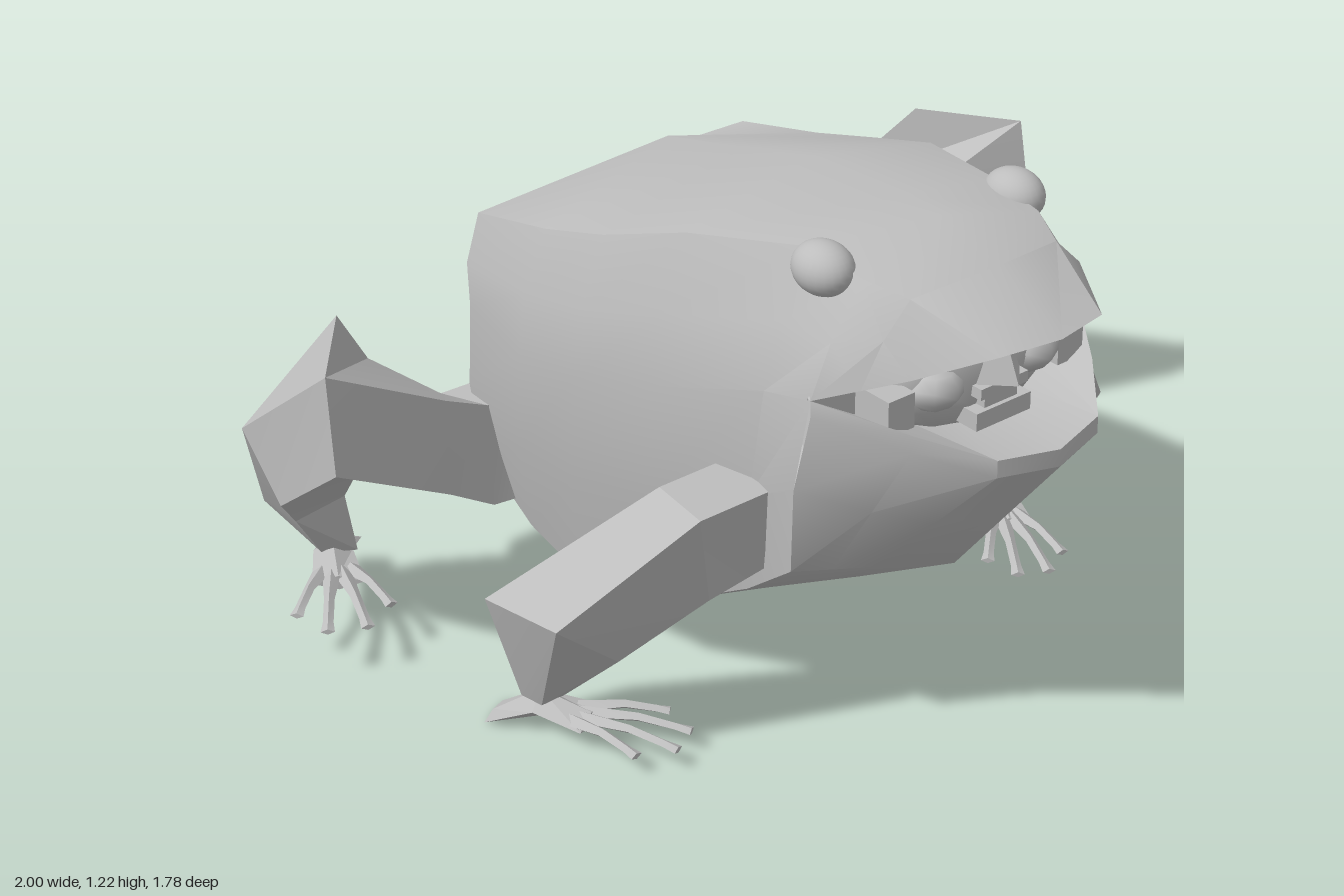
import * as THREE from 'three';
import { toCreasedNormals, mergeGeometries } from 'three/addons/utils/BufferGeometryUtils.js';

const grey = new THREE.MeshStandardMaterial({ color: 0xbdbdbd, side: THREE.DoubleSide });
grey.name = 'grey skin';

const flip = ([x, y, z]) => [-x, y, z];
const mix = (a, b, t) => a.map((v, i) => v + (b[i] - v) * t);

// Skin rows of points; faces are turned to point away from `inside`
function loft(rows, inside, closed = false, caps = false) {
  const tris = [];
  const n = rows[0].length;
  for (let r = 0; r + 1 < rows.length; r++) {
    for (let i = 0; i < (closed ? n : n - 1); i++) {
      const j = (i + 1) % n;
      const a = rows[r][i], b = rows[r][j], c = rows[r + 1][j], d = rows[r + 1][i];
      tris.push([a, b, c], [a, c, d]);
    }
  }
  if (caps) {
    const first = rows[0], last = rows[rows.length - 1];
    for (let i = 1; i + 1 < n; i++) {
      tris.push([first[0], first[i + 1], first[i]], [last[0], last[i], last[i + 1]]);
    }
  }
  const origin = new THREE.Vector3(...inside);
  let volume = 0;
  for (const t of tris) {
    const [a, b, c] = t.map((p) => new THREE.Vector3(...p).sub(origin));
    volume += a.dot(b.cross(c));
  }
  if (volume < 0) tris.forEach((t) => t.reverse());
  const g = new THREE.BufferGeometry();
  g.setAttribute('position', new THREE.Float32BufferAttribute(tris.flat(2), 3));
  return g;
}

const limb = (rows) => loft(rows, rows[0][0], true, true);
// Four-cornered section from three of its corners
const quad = (a, b, c) => [a, b, c, a.map((v, i) => v + c[i] - b[i])];
// Half ring from top centre to bottom centre -> whole ring
const ring = (h) => [...h, ...h.slice(1, -1).reverse().map(flip)];
// Half row from the side to the centre -> whole row
const across = (h) => [...h, ...h.slice(0, -1).reverse().map(flip)];

// Half of a body section: top, ridge, widest, low edge and belly, bulged between
function halfRing([yT, zT, xR, yR, zR, xM, xL, yL, zL, yB, zB]) {
  const top = [0, yT, zT], ridge = [xR, yR, zR], low = [xL, yL, zL], belly = [0, yB, zB];
  const wide = [xM, yR + (yL - yR) * 0.35, zR + (zL - zR) * 0.1];
  const bulge = (a, b) => {
    const [x, y, z] = mix(a, b, 0.5);
    return [x * 1.05, y, z];
  };
  return [top, ridge, bulge(ridge, wide), wide, bulge(wide, low), low, mix(low, belly, 0.5), belly];
}

// Diamond-section bar through stations of [point, half width, half height]
function bar(stations) {
  const a = stations[0][0], b = stations[stations.length - 1][0];
  const dir = new THREE.Vector3(b[0] - a[0], 0, b[2] - a[2]).normalize();
  return limb(stations.map(([p, w, h]) => [[1, 0], [0, 1], [-1, 0], [0, -1]].map(([u, v]) =>
    [p[0] + dir.z * u * w, p[1] + v * h, p[2] - dir.x * u * w])));
}

export function createModel() {
  const model = new THREE.Group();
  model.name = 'frog';
  const add = (name, geo, crease = 0.3) => {
    const m = new THREE.Mesh(crease ? toCreasedNormals(geo, crease) : geo, grey);
    m.name = name;
    model.add(m);
    return m;
  };

  // Body sections from rump edge to mouth corner
  const body = [
    [.52, -.89, 0, .5, -.885, 0, 0, .36, -.83, .33, -.81],
    [.84, -.73, .38, .93, -.56, .41, .36, .28, -.62, .19, -.66],
    [1.075, -.36, .385, .99, -.3, .46, .37, .18, -.42, .04, -.38],
    [1.14, -.1, .38, 1.05, -.1, .455, .37, .135, -.24, .015, -.23],
    [1.2, .13, .34, 1.13, .13, .43, .36, .18, .02, .03, -.06],
    [1.22, .43, .25, 1.18, .42, .365, .32, .34, .3, .24, .3],
    [1.213, .53, .24, 1.16, .565, .37, .37, .5, .5, .42, .6],
  ].map(halfRing);
  const [brow, ridge, temple, corner, cheek, low, throat, chest] = body[6];
  const upperLip = [corner, [.25, 1, .72], [.14, 1.07, .855], [0, 1.075, .885]];
  const lowerLip = [corner, [.25, .88, .73], [.14, .84, .86], [0, .83, .895]];

  // Snout with a fold across it
  const snout = [
    [corner, temple, ridge, brow],
    [[.31, .965, .64], [.27, 1.07, .66], [.2, 1.14, .66], [0, 1.165, .7]],
    upperLip,
  ];
  // Lower jaw: lip, chin, throat, chest
  const chin = lowerLip.map(([x, y, z]) => [x, y - .04, z]);
  const jawBase = [low, mix(low, throat, 0.5), throat, chest];
  const gullet = chin.map((p, i) => (i ? mix(p, jawBase[i], 0.5) : cheek));
  const jaw = [lowerLip, chin, gullet, jawBase];

  add('body', mergeGeometries([
    loft(body.map(ring), [0, .6, 0], true),
    loft(snout.map(across), [0, .95, .5]),
    loft(jaw.map(across), [0, .75, .5]),
  ]), 0.55);

  // Mouth lining: arched palate and hollow floor
  add('mouthLining', loft([
    upperLip,
    upperLip.map(([x]) => [x, 1.11 - 1.3 * x * x, .55]),
    lowerLip.map(([x]) => [x, .79 + x * x, .55]),
    lowerLip,
  ].map(across), [0, .95, 1]));

  // Small face inside the mouth
  const ball = (name, p, s, w = 10, h = 8) => {
    const m = add(name, new THREE.SphereGeometry(1, w, h), 0);
    m.position.set(...p);
    m.scale.set(...s);
  };
  const box = (name, size, p) => add(name, new THREE.BoxGeometry(...size), 0).position.set(...p);
  ball('innerHead', [0, .93, .61], [.23, .15, .1]);
  add('innerNose', new THREE.CylinderGeometry(.02, .06, .09, 4)).position.set(0, .965, .71);
  box('innerUpperLip', [.13, .025, .05], [0, .905, .705]);
  box('innerMouth', [.09, .05, .04], [0, .87, .7]);
  box('innerChin', [.15, .04, .08], [0, .845, .69]);

  for (const [side, s] of [['left', 1], ['right', -1]]) {
    const at = ([x, y, z]) => [x * s, y, z];
    const part = (name, rows) => add(side + name, limb(rows.map((r) => r.map(at))));

    ball(side + 'Eye', at([.262, 1.157, .47]), [.06, .057, .073], 24, 16);
    ball(side + 'InnerEye', at([.1, 1.015, .68]), [.07, .035, .05]);
    ball(side + 'InnerCheek', at([.13, .92, .67]), [.07, .045, .05], 7, 5);
    box(side + 'InnerSide', [.07, .08, .1], at([.235, .9, .63]));

    // Front leg: shoulder, elbow, wrist
    part('FrontLeg', [
      quad([.33, .66, .43], [.33, .66, .27], [.33, .44, .22]),
      quad([.55, .66, .43], [.53, .66, .27], [.47, .42, .22]),
      quad([.79, .4, .25], [.8, .37, .01], [.65, .24, .02]),
      quad([.7, .08, .06], [.71, .08, 0], [.65, .08, 0]),
    ]);

    // Hind leg: thigh up to the knee, then shin down to the ankle
    const knee = quad([.83, .87, -.45], [.99, .86, -.25], [1, .64, -.22]);
    part('Thigh', [
      quad([.33, .46, -.64], [.33, .48, -.52], [.33, .22, -.48]),
      quad([.44, .45, -.66], [.42, .48, -.5], [.43, .23, -.48]),
      quad([.66, .64, -.61], [.6, .6, -.4], [.6, .36, -.4]),
      knee,
    ]);
    part('Shin', [
      knee,
      quad([.8, .6, -.6], [.98, .57, -.63], [.975, .43, -.5]),
      quad([.77, .34, -.7], [.89, .31, -.72], [.86, .28, -.64]),
      quad([.7, .15, -.7], [.77, .15, -.74], [.78, .15, -.67]),
    ]);

    // Foot: heel and palm, then four toes fanned about the ankle
    const foot = (name, heel, ankle, turn, step, length) => {
      const reach = (angle, d, y) =>
        at([ankle[0] + Math.sin(angle) * d, y, ankle[2] + Math.cos(angle) * d]);
      const y = ankle[1];
      add(`${side}${name}Palm`, bar([
        [at(heel), .045, .007],
        [at(ankle), .045, .035],
        [reach(turn + step * 1.5, .12, y - .015), .06, .018],
      ]));
      for (let i = 0; i < 4; i++) {
        const angle = turn + step * i;
        const d = length + .07 * Math.sin(i * Math.PI / 3);
        add(`${side}${name}Toe${i + 1}`, bar([
          [reach(angle, .08, y - .01), .022, .016],
          [reach(angle, d * .65, y), .012, .011],
          [reach(angle, d * .9, y - .01), .012, .009],
          [reach(angle, d, y - .015), .016, .007],
        ]));
      }
    };
    foot('Front', [.735, .008, -.075], [.68, .065, .03], -.83, .22, .28);
    foot('Hind', [.655, .087, -.785], [.745, .14, -.68], .9, -.28, .26);
  }
  return model;
}
